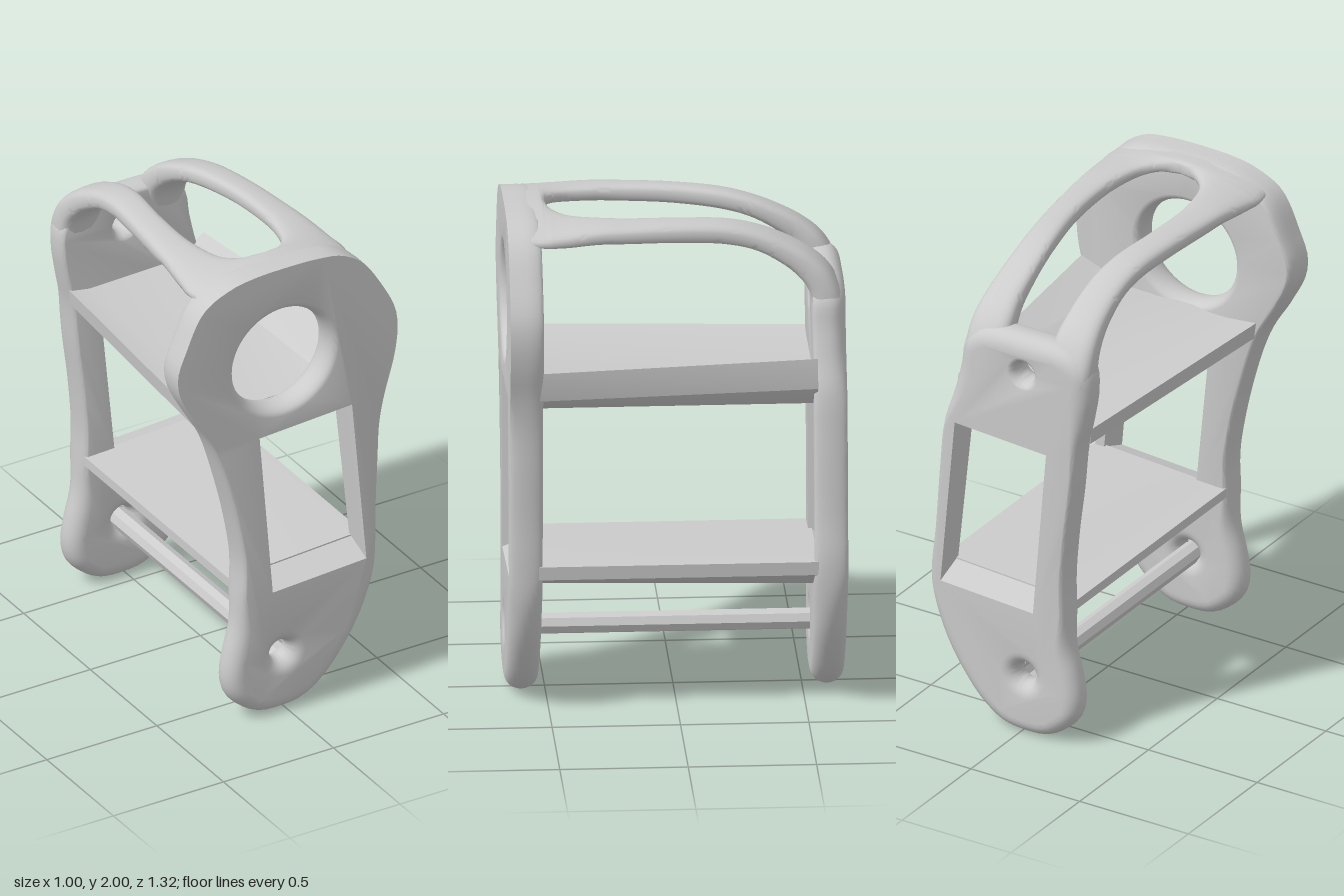
import * as THREE from 'three';
import { toCreasedNormals } from 'three/addons/utils/BufferGeometryUtils.js';

const MID = 0.595, HALF = 0.065; // plate centre depth and half thickness
const CX = -0.02;                // axis of the holes and the roof

const material = new THREE.MeshStandardMaterial({ color: 0xcccccc, side: THREE.DoubleSide });

function finish(positions, index, name, crease = 0.7) {
  const geo = new THREE.BufferGeometry();
  geo.setAttribute('position', new THREE.Float32BufferAttribute(positions, 3));
  geo.setIndex(index);
  const mesh = new THREE.Mesh(toCreasedNormals(geo, crease), material);
  mesh.name = name;
  return mesh;
}

// Skin over a row of equally long closed loops
function skin(index, start, rows, n, flip) {
  for (let r = 0; r < rows - 1; r++) for (let i = 0; i < n; i++) {
    const a = start + r * n + i, b = start + r * n + (i + 1) % n, c = a + n, d = b + n;
    if (flip) index.push(a, d, b, a, c, d);
    else index.push(a, b, d, a, d, c);
  }
}

const smooth = (pts, n) => {
  const curve = new THREE.CatmullRomCurve3(pts.map(([x, y]) => new THREE.Vector3(x, y, 0)), true);
  return curve.getSpacedPoints(n).slice(0, n).map(p => [p.x, p.y]);
};

// Clockwise round hole with a flared rim
const roundHole = (x, y, r, flare, n = 40) => ({
  pts: Array.from({ length: n }, (_, i) => {
    const a = -i / n * Math.PI * 2;
    return [x + r * Math.cos(a), y + r * Math.sin(a)];
  }),
  out: () => flare, in: () => flare,
});

// Plate with rounded edges: every contour has its own rounding per face
function plate(name, side, contours) {
  const pos = [], index = [], caps = [[], []], capIds = [[], []], steps = 6;
  for (const c of contours) {
    const n = c.pts.length, start = pos.length / 3;
    for (let k = -steps; k <= steps; k++) {
      const a = k / steps * Math.PI / 2, z = HALF * Math.sin(a);
      c.pts.forEach(([px, py], i) => {
        const p = c.pts[(i + n - 1) % n], q = c.pts[(i + 1) % n];
        const tx = q[0] - p[0], ty = q[1] - p[1], l = Math.hypot(tx, ty);
        const b = (k > 0 ? c.out(py) : c.in(py)) * (1 - Math.cos(a));
        const t = (1 - z / HALF) / 2; // inner share for slanted openings
        const x = px - ty / l * b;
        const y = py + tx / l * b + (c.slant ? c.slant[i] * t : 0);
        pos.push(x, y, side * (MID + z));
        const cap = k === -steps ? 0 : k === steps ? 1 : -1;
        if (cap >= 0) {
          (caps[cap][contours.indexOf(c)] ??= []).push(new THREE.Vector2(x, y));
          capIds[cap].push(start + (k + steps) * n + i);
        }
      });
    }
    skin(index, start, 2 * steps + 1, n, side < 0);
  }
  caps.forEach((loops, k) => {
    for (const [a, b, c] of THREE.ShapeUtils.triangulateShape(loops[0], loops.slice(1))) {
      const [i, j, m] = [a, b, c].map(v => capIds[k][v]);
      if ((k === 1) === (side > 0)) index.push(i, j, m);
      else index.push(i, m, j);
    }
  });
  return finish(pos, index, name);
}

// Straight shelf between a front and a back cross-section (counter-clockwise)
function shelf(name, front, back) {
  const pos = [], index = [], n = front.length;
  for (const [section, z] of [[back, -0.545], [front, 0.545]])
    for (const [x, y] of section) pos.push(x, y, z);
  skin(index, 0, 2, n, false);
  const tris = THREE.ShapeUtils.triangulateShape(front.map(p => new THREE.Vector2(...p)), []);
  for (const [a, b, c] of tris) index.push(a, c, b, n + a, n + b, n + c);
  return finish(pos, index, name, 0.42);
}

// Stations of the roof: top z, top y, under z, under y, inner and outer half width
const ROOF = [
  [0.57, 2, 0.57, 1.945, -0.2, 0.345], [0.53, 2, 0.53, 1.943, -0.2, 0.35],
  [0.505, 1.998, 0.505, 1.94, -0.05, 0.349], [0.49, 1.997, 0.49, 1.938, 0.05, 0.347],
  [0.46, 1.995, 0.46, 1.934, 0.1, 0.342], [0.41, 1.993, 0.41, 1.928, 0.138, 0.336],
  [0.3, 1.99, 0.3, 1.922, 0.166, 0.322], [0.2, 1.988, 0.2, 1.917, 0.175, 0.312],
  [0, 1.983, 0, 1.908, 0.165, 0.29], [-0.2, 1.965, -0.19, 1.888, 0.135, 0.267],
  [-0.32, 1.935, -0.3, 1.86, 0.12, 0.26], [-0.42, 1.895, -0.38, 1.82, 0.113, 0.262],
  [-0.52, 1.84, -0.46, 1.762, 0.108, 0.27], [-0.595, 1.775, -0.51, 1.7, 0.1, 0.28],
  [-0.64, 1.7, -0.53, 1.63, 0.1, 0.285], [-0.659, 1.62, -0.535, 1.57, 0.12, 0.28],
  [-0.64, 1.45, -0.55, 1.45, 0.14, 0.25],
];

// Half of the roof: a rounded rail that widens into a web at the front
function roofRail(name, side) {
  const pos = [], index = [], n = 24, rows = 110;
  const top = new THREE.CatmullRomCurve3(ROOF.map(s => new THREE.Vector3(s[0], s[1], s[4])));
  const under = new THREE.CatmullRomCurve3(ROOF.map(s => new THREE.Vector3(s[2], s[3], s[5])));
  const squarish = v => Math.sign(v) * Math.abs(v) ** 0.65;
  for (let r = 0; r < rows; r++) {
    const t = top.getPoint(r / (rows - 1)), u = under.getPoint(r / (rows - 1));
    const crown = 0.22 + 0.22 * THREE.MathUtils.smoothstep(t.x, 0.25, 0.57);
    for (let i = 0; i < n; i++) {
      const a = i / n * Math.PI * 2, v = (1 + squarish(Math.sin(a))) / 2;
      const w = (t.z + u.z) / 2 + (u.z - t.z) / 2 * squarish(Math.cos(a));
      pos.push(CX + side * w, u.y + (t.y - u.y) * v - crown * w * w, u.x + (t.x - u.x) * v);
    }
  }
  skin(index, 0, rows, n, side > 0);
  return finish(pos, index, name, 1.2);
}

export function createModel() {
  const model = new THREE.Group();

  // Outlines run counter-clockwise; both plates share the foot
  const foot = [[-0.205, 0.7], [-0.21, 0.55], [-0.22, 0.42], [-0.25, 0.3], [-0.265, 0.2], [-0.25, 0.12],
    [-0.2, 0.06], [-0.12, 0.01], [-0.02, 0], [0.08, 0.015], [0.18, 0.08], [0.28, 0.2], [0.36, 0.34],
    [0.4, 0.47], [0.41, 0.62]];
  const frontHead = [[0.412, 0.8], [0.42, 1], [0.43, 1.2], [0.45, 1.33], [0.485, 1.47], [0.497, 1.58],
    [0.485, 1.67], [0.42, 1.8], [0.335, 1.92], [0.24, 1.978], [0.14, 1.995], [-0.02, 2], [-0.15, 1.995],
    [-0.25, 1.978], [-0.38, 1.912], [-0.465, 1.75], [-0.5, 1.65], [-0.49, 1.56], [-0.43, 1.44],
    [-0.35, 1.3], [-0.28, 1.08], [-0.23, 0.87]];
  const backHead = [[0.392, 0.8], [0.37, 1.1], [0.35, 1.3], [0.315, 1.42], [0.285, 1.55], [0.265, 1.66],
    [0.19, 1.725], [-0.02, 1.742], [-0.23, 1.725], [-0.3, 1.66], [-0.31, 1.55], [-0.29, 1.42],
    [-0.265, 1.3], [-0.245, 1.1], [-0.22, 0.9]];

  // Rounding fades from the full foot to the slim window posts
  const fade = (y, a, b) => THREE.MathUtils.smoothstep(y, a, b);
  const footRound = y => 0.06 - 0.04 * fade(y, 0.35, 0.6);
  const frontOut = y => footRound(y) * (1 - fade(y, 1.1, 1.4));
  const backOut = y => footRound(y) + 0.05 * fade(y, 1.2, 1.55);

  // Tilted window with slanted head and sill
  const tiltedWindow = () => ({
    pts: [[-0.13, 1.265], [0.29, 1.29], [0.355, 0.575], [-0.07, 0.55]],
    slant: [-0.05, -0.05, 0.05, 0.05], out: () => 0, in: () => 0,
  });
  const footHole = () => roundHole(CX, 0.26, 0.04, 0.06);

  model.add(plate('frontPlate', 1, [
    { pts: smooth([...foot, ...frontHead], 140), out: frontOut, in: footRound },
    tiltedWindow(), footHole(), roundHole(CX, 1.585, 0.215, 0.035, 64),
  ]));
  model.add(plate('backPlate', -1, [
    { pts: smooth([...foot, ...backHead], 130), out: backOut, in: footRound },
    tiltedWindow(), footHole(), roundHole(CX, 1.59, 0.04, 0.03),
  ]));

  // Upper trough and lower shelf
  const bottom = [[-0.13, 1.215], [0.29, 1.24]];
  model.add(shelf('upperShelf',
    [[-0.335, 1.3], ...bottom, [0.44, 1.32], [0.462, 1.44], [0.25, 1.365], [-0.2, 1.355], [-0.345, 1.37]],
    [[-0.26, 1.3], ...bottom, [0.355, 1.32], [0.345, 1.44], [0.22, 1.365], [-0.18, 1.355], [-0.27, 1.37]]));
  const lowerShelf = sag => [[-0.2, 0.555], [-0.1, 0.52 - sag], [0.1, 0.505 - sag], [0.27, 0.515 - sag],
    [0.4, 0.57], [0.405, 0.625], [0.35, 0.625], [-0.07, 0.6], [-0.2, 0.595]];
  model.add(shelf('lowerShelf', lowerShelf(0), lowerShelf(0.022)));

  // Roof with its long opening
  model.add(roofRail('leftRoofRail', 1), roofRail('rightRoofRail', -1));

  // Hollow cross tube between the feet
  const tube = new THREE.Mesh(
    toCreasedNormals(new THREE.CylinderGeometry(0.043, 0.043, 1.17, 8, 1, true), 0.3), material);
  tube.name = 'crossTube';
  tube.rotation.x = Math.PI / 2;
  tube.position.set(CX, 0.248, 0);
  model.add(tube);

  return model;
}
